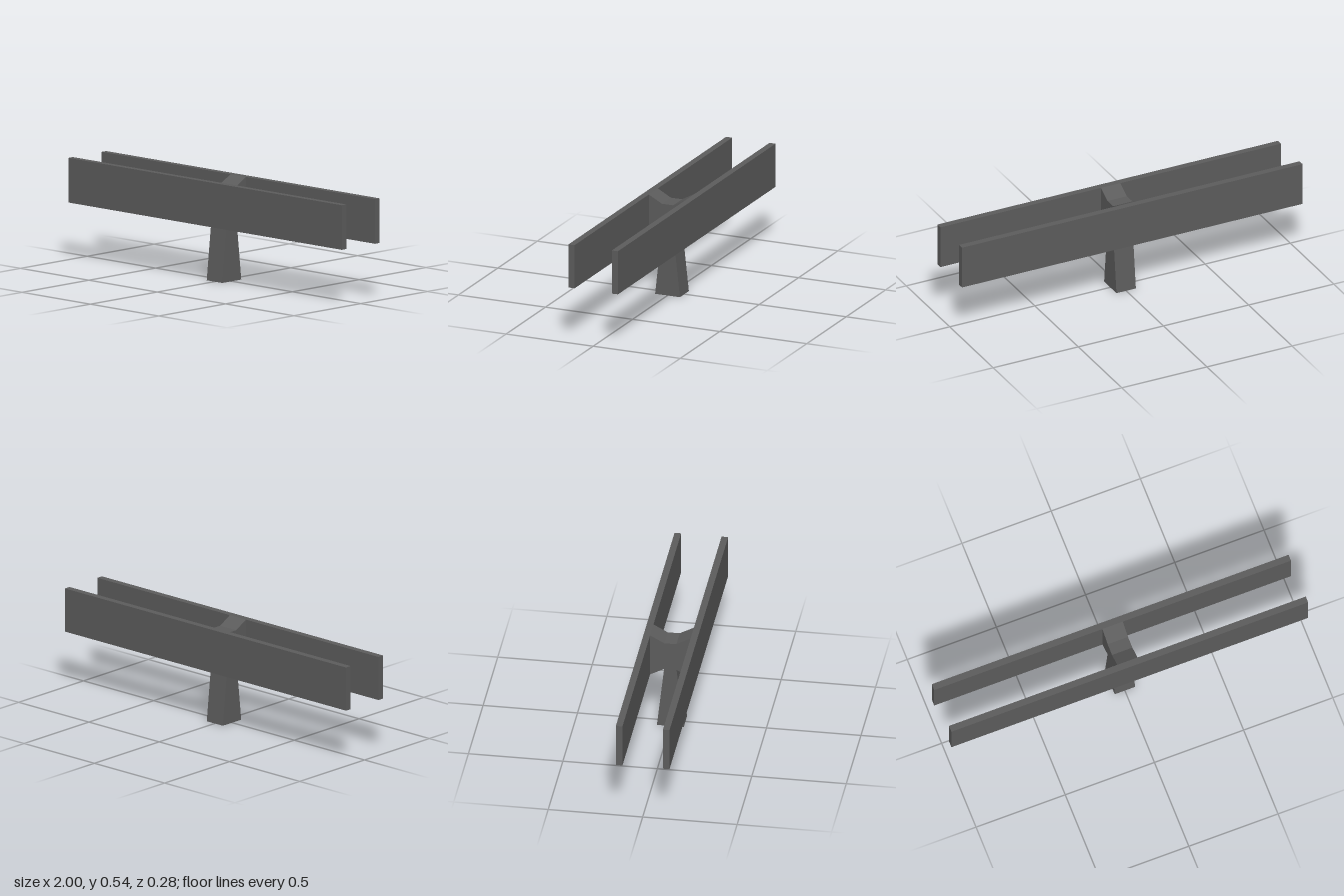
import * as THREE from 'three';

export function createModel() {
  const model = new THREE.Group();
  model.name = 'guardRail';
  const grey = new THREE.MeshStandardMaterial({ color: 0x5c5c5c });
  grey.name = 'dark grey';

  const top = 0.541, bottom = 0.304, inner = 0.107, outer = 0.142, postWidth = 0.114;

  // Half outline of the post: tapered leg, flared bracket, dipped top
  const half = [[0.071, 0], [0.033, 0.344], [inner, bottom], [inner, top], [0.032, 0.5]];
  const outline = [...half, ...half.map(([z, y]) => [-z, y]).reverse()];
  const shape = new THREE.Shape(outline.map(([z, y]) => new THREE.Vector2(z, y)));
  const postGeometry = new THREE.ExtrudeGeometry(shape, { depth: postWidth, bevelEnabled: false });
  postGeometry.translate(0, 0, -postWidth / 2).rotateY(-Math.PI / 2);
  const post = new THREE.Mesh(postGeometry, grey);
  post.name = 'post';
  model.add(post);

  // Long rails on both sides of the post
  for (const side of [1, -1]) {
    const rail = new THREE.Mesh(new THREE.BoxGeometry(2, top - bottom, outer - inner), grey);
    rail.name = side > 0 ? 'frontRail' : 'backRail';
    rail.position.set(0, (top + bottom) / 2, side * (inner + outer) / 2);
    model.add(rail);
  }
  return model;
}
